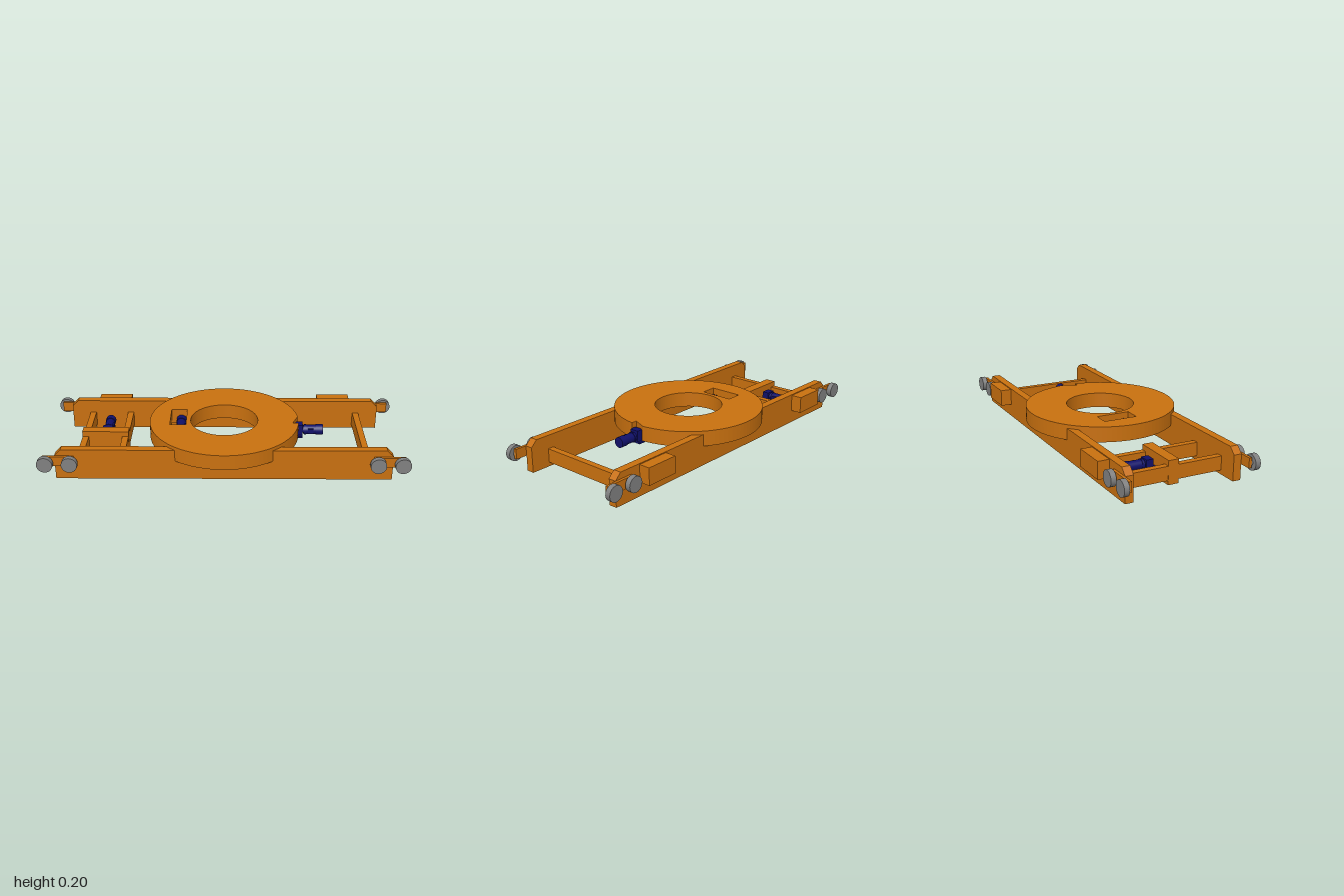
import * as THREE from 'three';

const mat = (color) => new THREE.MeshStandardMaterial({ color });

export function createModel() {
  const model = new THREE.Group();
  const orange = mat(0xc8700f), navy = mat(0x10106a), grey = mat(0x808080);

  const add = (parent, name, geo, material) => {
    const mesh = new THREE.Mesh(geo, material);
    mesh.name = name;
    parent.add(mesh);
    return mesh;
  };
  // Box given by its limits on each axis
  const box = (parent, name, [x0, x1], [y0, y1], [z0, z1], material = orange) =>
    add(parent, name, new THREE.BoxGeometry(x1 - x0, y1 - y0, z1 - z0), material)
      .position.set((x0 + x1) / 2, (y0 + y1) / 2, (z0 + z1) / 2);
  // Cylinder along z between two z limits
  const rod = (parent, name, r, x, y, z0, z1, material, sides = 32) => {
    const geo = new THREE.CylinderGeometry(r, r, Math.abs(z1 - z0), sides).rotateX(Math.PI / 2);
    add(parent, name, geo, material).position.set(x, y, (z0 + z1) / 2);
  };

  // Turntable ring with an edge notch and a motor window
  const R = 0.42, notch = Math.asin(0.04 / R);
  const disc = new THREE.Shape();
  disc.moveTo(0.385, 0.04);
  disc.absarc(0, 0, R, notch, Math.PI * 2 - notch, false);
  disc.lineTo(0.385, -0.04);
  disc.closePath();
  const hole = new THREE.Path();
  hole.absarc(0, 0, 0.19, 0, Math.PI * 2, true);
  const slot = new THREE.Path([[-0.305, -0.065], [-0.215, -0.065], [-0.215, 0.125], [-0.305, 0.125]]
    .map(([x, y]) => new THREE.Vector2(x, y)));
  disc.holes.push(hole, slot);
  const ring = new THREE.ExtrudeGeometry(disc, { depth: 0.085, bevelEnabled: false, curveSegments: 48 });
  add(model, 'turntableRing', ring.rotateX(-Math.PI / 2), orange).position.y = 0.11;

  // Long side rails with chamfered upper corners
  const profile = new THREE.Shape([[-0.91, 0], [0.91, 0], [0.91, 0.14], [0.875, 0.175], [-0.875, 0.175], [-0.91, 0.14]]
    .map(([x, y]) => new THREE.Vector2(x, y)));
  for (const side of [1, -1]) {
    const rail = new THREE.ExtrudeGeometry(profile, { depth: 0.045, bevelEnabled: false });
    add(model, 'sideRail', rail, orange).position.z = side * 0.305 - 0.0225;

    // Wheel bogie at each end: bracket, axles, wheels
    for (const end of [1, -1]) {
      const bogie = new THREE.Group();
      bogie.name = 'wheelBogie';
      model.add(bogie);
      const span = (a, b, s) => (s > 0 ? [a, b] : [-b, -a]);
      box(bogie, 'bogieBracket', span(0.805, 0.975, end), [0.085, 0.14], span(0.327, 0.343, side));
      for (const x of [0.825, 0.957]) {
        rod(bogie, 'axle', 0.018, end * x, 0.108, side * 0.34, side * 0.352, grey, 20);
        rod(bogie, 'wheel', 0.043, end * x, 0.108, side * 0.35, side * 0.379, grey);
      }
    }
  }

  // Cross beams and the link between the left-hand pair
  for (const x of [[-0.805, -0.77], [-0.58, -0.545], [0.765, 0.8]])
    box(model, 'crossBeam', x, [0.023, 0.1], [-0.285, 0.285]);
  box(model, 'centreLink', [-0.806, -0.544], [0, 0.13], [-0.03, 0.03]);

  // Equipment boxes on the back rail
  for (const x of [[-0.75, -0.56], [0.555, 0.745]])
    box(model, 'equipmentBox', x, [0.075, 0.17], [-0.39, -0.325]);

  // Geared motor: body runs along +z from its gearbox
  const motor = (name, length) => {
    const g = new THREE.Group();
    g.name = name;
    model.add(g);
    rod(g, 'motorBody', 0.026, 0, 0, 0.045, length - 0.015, navy, 24);
    rod(g, 'motorCap', 0.029, 0, 0, length - 0.04, length, navy, 24);
    rod(g, 'motorFlange', 0.029, 0, 0, 0.05, 0.06, navy, 24);
    rod(g, 'gearboxNeck', 0.02, 0, 0, 0.035, 0.055, navy, 24);
    box(g, 'terminalBox', [-0.031, 0.01], [-0.015, 0.015], [0.07, 0.1], navy);
    return g;
  };

  // Ring drive at the notch
  const drive = motor('ringDriveMotor', 0.155);
  drive.position.set(0.405, 0.135, 0);
  drive.rotation.y = Math.PI / 2;
  box(drive, 'gearbox', [-0.026, 0.026], [-0.028, 0.036], [0, 0.04], navy);
  box(drive, 'mountFoot', [-0.04, 0.04], [-0.035, -0.025], [0, 0.04], navy);
  rod(drive, 'shaft', 0.01, 0, 0, -0.02, 0, navy, 16);

  // Motor sunk in the ring window
  const sunk = motor('windowMotor', 0.185);
  sunk.position.set(-0.248, 0.135, 0.065);
  sunk.rotation.y = Math.PI;
  box(sunk, 'gearbox', [-0.033, 0.045], [-0.028, 0.026], [0, 0.038], navy);
  box(sunk, 'basePlate', [-0.033, 0.032], [-0.035, -0.026], [-0.07, 0.19], navy);

  // Motor between the left-hand cross beams
  const link = motor('linkMotor', 0.17);
  link.position.set(-0.675, 0.08, -0.055);
  link.rotation.y = Math.PI;
  box(link, 'gearbox', [-0.028, 0.028], [-0.066, 0.028], [0, 0.04], navy);
  rod(link, 'shaft', 0.01, 0, -0.03, -0.03, 0, navy, 16);

  return model;
}
